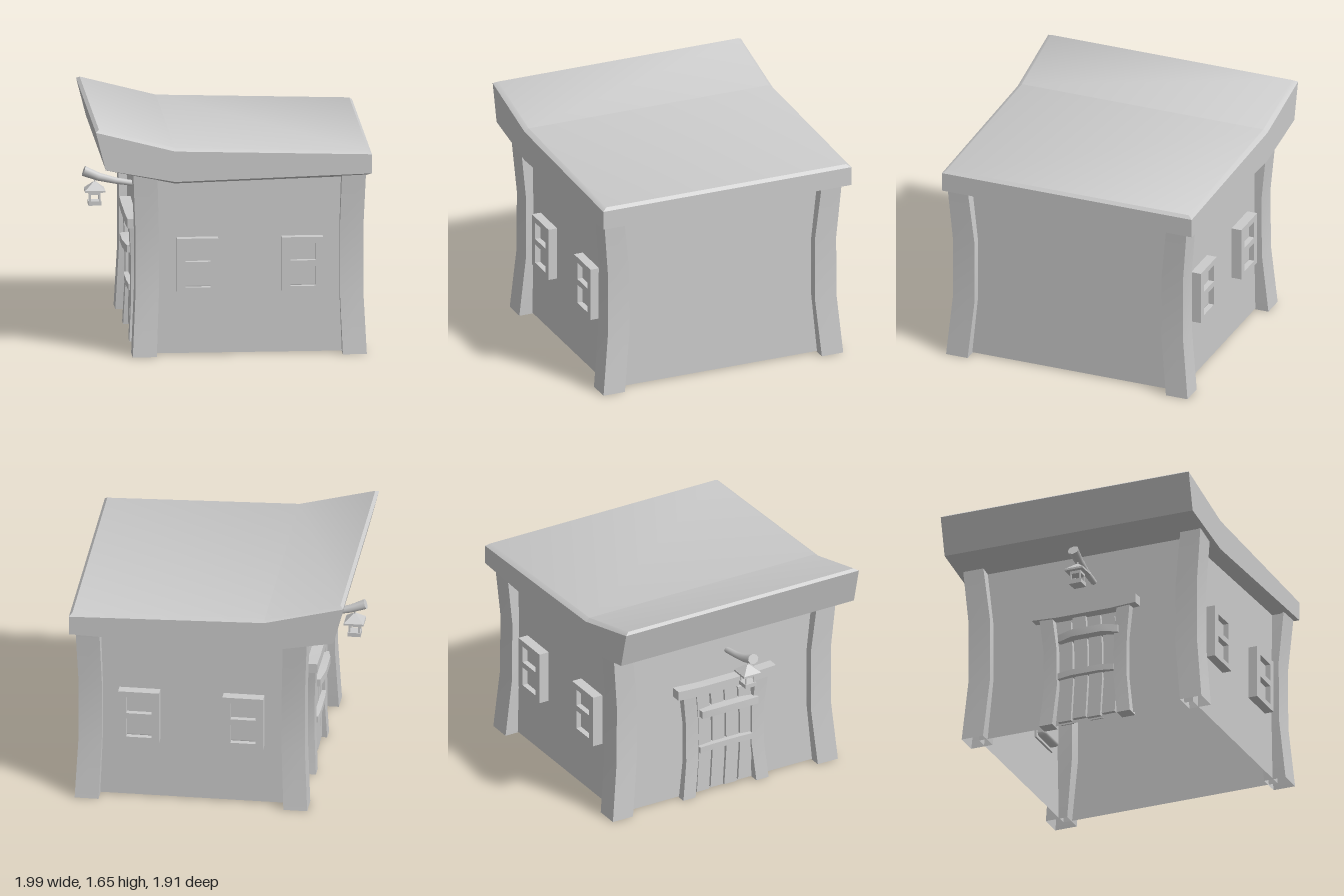
import * as THREE from 'three';
import { toCreasedNormals } from 'three/addons/utils/BufferGeometryUtils.js';
import { RoundedBoxGeometry } from 'three/addons/geometries/RoundedBoxGeometry.js';

const grey = new THREE.MeshStandardMaterial({ color: 0xcccccc });
const greyDouble = new THREE.MeshStandardMaterial({ color: 0xcccccc, side: THREE.DoubleSide });

function add(parent, name, geometry, x = 0, y = 0, z = 0, material = grey) {
  const mesh = new THREE.Mesh(geometry, material);
  mesh.name = name;
  mesh.position.set(x, y, z);
  parent.add(mesh);
  return mesh;
}

const box = (w, h, d) => new THREE.BoxGeometry(w, h, d);

// Skin a row of equal-length rings; rings run counter-clockwise seen from the last end.
function loft(rings, { caps = true, crease = 0.6 } = {}) {
  const pos = [];
  const quad = (a, b, c, d) => [a, b, c, a, c, d].forEach(p => pos.push(...p));
  const n = rings[0].length;
  for (let i = 0; i < rings.length - 1; i++) {
    for (let j = 0; j < n; j++) {
      const k = (j + 1) % n;
      quad(rings[i][j], rings[i][k], rings[i + 1][k], rings[i + 1][j]);
    }
  }
  if (caps) {
    const first = rings[0], last = rings[rings.length - 1];
    for (let k = 0; k < n / 2 - 1; k++) {
      const q = [(n - k) % n, k + 1, k + 2, n - 1 - k];
      quad(...q.map(i => last[i]));
      quad(...q.map(i => first[i]).reverse());
    }
  }
  const g = new THREE.BufferGeometry();
  g.setAttribute('position', new THREE.Float32BufferAttribute(pos, 3));
  return toCreasedNormals(g, crease);
}

// Sagging slab roof, bevelled above and below
function roof() {
  // x, y of: top, upper edge, lower edge, underside
  const stations = [
    [-0.94, 1.647, -0.963, 1.631, -0.893, 1.358, -0.84, 1.337],
    [-0.4, 1.508, -0.4, 1.487, -0.4, 1.267, -0.4, 1.246],
    [0.973, 1.467, 0.995, 1.446, 0.995, 1.308, 0.94, 1.283],
  ];
  const half = [0.925, 0.957, 0.957, 0.905];
  return loft(stations.map(s => {
    const p = (k, side) => [s[2 * k], s[2 * k + 1], side * half[k]];
    return [p(0, -1), ...[0, 1, 2, 3].map(k => p(k, 1)), ...[3, 2, 1].map(k => p(k, -1))];
  }));
}

// Corner post, pinched at mid height
function cornerPost(sx, sz) {
  const levels = [
    [0, 0.83, 0.66, 0.925, 0.76],
    [0.45, 0.808, 0.642, 0.882, 0.715],
    [0.9, 0.808, 0.642, 0.88, 0.715],
    [1.31, 0.825, 0.655, 0.915, 0.76],
  ];
  return loft(levels.map(([y, xo, xi, zo, zi]) => {
    const ring = [[xo, zo], [xo, zi], [xi, zi], [xi, zo]].map(([x, z]) => [sx * x, y, sz * z]);
    return sx * sz < 0 ? ring.reverse() : ring;
  }), { caps: false });
}

// Upright board on the door side; bow shifts its middle along z
function upright(z0, z1, y0, y1, xOut, bow, lean = 0) {
  return loft([0, 0.35, 0.7, 1].map(t => {
    const s = bow * Math.sin(Math.PI * t), xo = xOut - lean * (2 * t - 1) ** 2;
    const y = y0 + (y1 - y0) * t;
    return [[-0.585, y, z1 + s], [-0.585, y, z0 + s], [xo, y, z0 + s], [xo, y, z1 + s]];
  }));
}

// Crosswise beam on the door side; bow pushes its middle outwards and up
function beam(z0, z1, y, h, xOut, bow = 0, rise = 0) {
  return loft([0, 0.25, 0.75, 1].map(t => {
    const s = Math.sin(Math.PI * t), xo = xOut - bow * s, m = y + rise * s;
    const z = z0 + (z1 - z0) * t;
    return [[-0.62, m + h / 2, z], [xo, m + h / 2, z], [xo, m - h / 2, z], [-0.62, m - h / 2, z]];
  }));
}

function rect(path, x0, y0, x1, y1) {
  path.moveTo(x0, y0).lineTo(x1, y0).lineTo(x1, y1).lineTo(x0, y1).closePath();
  return path;
}

// Two-light window; z = 0 is the wall face
function windowUnit() {
  const g = new THREE.Group();
  g.name = 'window';
  const s = rect(new THREE.Shape(), -0.146, -0.195, 0.146, 0.195);
  s.holes.push(rect(new THREE.Path(), -0.088, 0.027, 0.092, 0.152));
  s.holes.push(rect(new THREE.Path(), -0.088, -0.158, 0.092, -0.016));
  add(g, 'windowFrame', new THREE.ExtrudeGeometry(s, { depth: 0.09, bevelEnabled: false }), 0, 0, -0.02);
  add(g, 'windowPane', new RoundedBoxGeometry(0.25, 0.35, 0.11, 3, 0.025), 0, 0, -0.025);
  return g;
}

function lantern() {
  const g = new THREE.Group();
  g.name = 'lantern';
  const cap = new THREE.CylinderGeometry(0.012, 0.1, 0.055, 4).rotateY(Math.PI / 4).toNonIndexed();
  cap.computeVertexNormals();
  add(g, 'lanternRoof', cap, 0, 0.138, 0);
  add(g, 'lanternHook', new THREE.CylinderGeometry(0.006, 0.006, 0.05, 6), 0, 0.18, 0);
  add(g, 'lanternRim', box(0.142, 0.014, 0.142), 0, 0.105, 0);
  add(g, 'lanternTop', box(0.082, 0.022, 0.082), 0, 0.088, 0);
  add(g, 'lanternBase', box(0.092, 0.03, 0.092), 0, 0.015, 0);
  for (const x of [-1, 1]) for (const z of [-1, 1]) {
    add(g, 'lanternBar', box(0.012, 0.06, 0.012), x * 0.035, 0.055, z * 0.035);
  }
  return g;
}

export function createModel() {
  const model = new THREE.Group();
  model.name = 'hut';

  add(model, 'roof', roof());

  // Open-bottomed walls
  const walls = box(1.495, 1.295, 1.65);
  const idx = Array.from(walls.index.array);
  walls.setIndex([...idx.slice(0, 12), ...idx.slice(24)]);
  walls.clearGroups();
  add(model, 'walls', walls, 0.1275, 0.655, 0.015, greyDouble);

  for (const sx of [-1, 1]) for (const sz of [-1, 1]) {
    add(model, 'cornerPost', cornerPost(sx, sz), 0.13, 0, 0.015, greyDouble);
  }

  // Two windows in the front and two in the back
  for (const x of [-0.237, 0.507]) {
    const front = windowUnit();
    front.position.set(x, 0.65, 0.837);
    const back = windowUnit();
    back.position.set(x, 0.65, -0.815);
    back.rotation.y = Math.PI;
    model.add(front, back);
  }

  // Plank door with frame
  const door = new THREE.Group();
  door.name = 'door';
  model.add(door);
  add(door, 'doorPost', upright(-0.32, -0.22, 0, 0.85, -0.668, 0.035, 0.015));
  add(door, 'doorPost', upright(0.28, 0.38, 0, 0.85, -0.668, -0.035, 0.015));
  add(door, 'doorLintel', beam(-0.37, 0.43, 0.86, 0.07, -0.7, 0, -0.015));
  [0.79, 0.82, 0.8, 0.77].forEach((top, i) => {
    const z = -0.19 + i * 0.113;
    add(door, 'doorPlank', upright(z, z + 0.1, 0.02 + 0.01 * (i % 2), top, -0.65, 0.018));
  });
  add(door, 'doorBatten', beam(-0.17, 0.29, 0.65, 0.055, -0.695, 0.035, 0.02));
  add(door, 'doorBatten', beam(-0.18, 0.25, 0.365, 0.045, -0.68, 0.012, 0.012));

  // Branch that holds the lantern
  const branch = [[-0.6, 1.075, 0.019], [-0.76, 1.1, 0.022], [-0.88, 1.13, 0.028], [-0.985, 1.173, 0.035]];
  add(model, 'branch', loft(branch.map(([x, y, r]) => Array.from({ length: 8 }, (_, i) => {
    const a = i * Math.PI / 4;
    return [x + 0.35 * r * Math.sin(a), y + r * Math.sin(a), 0.075 + r * 1.2 * Math.cos(a)];
  })), { crease: 0.9 }));

  const lamp = lantern();
  lamp.position.set(-0.908, 0.93, 0.075);
  model.add(lamp);

  return model;
}
